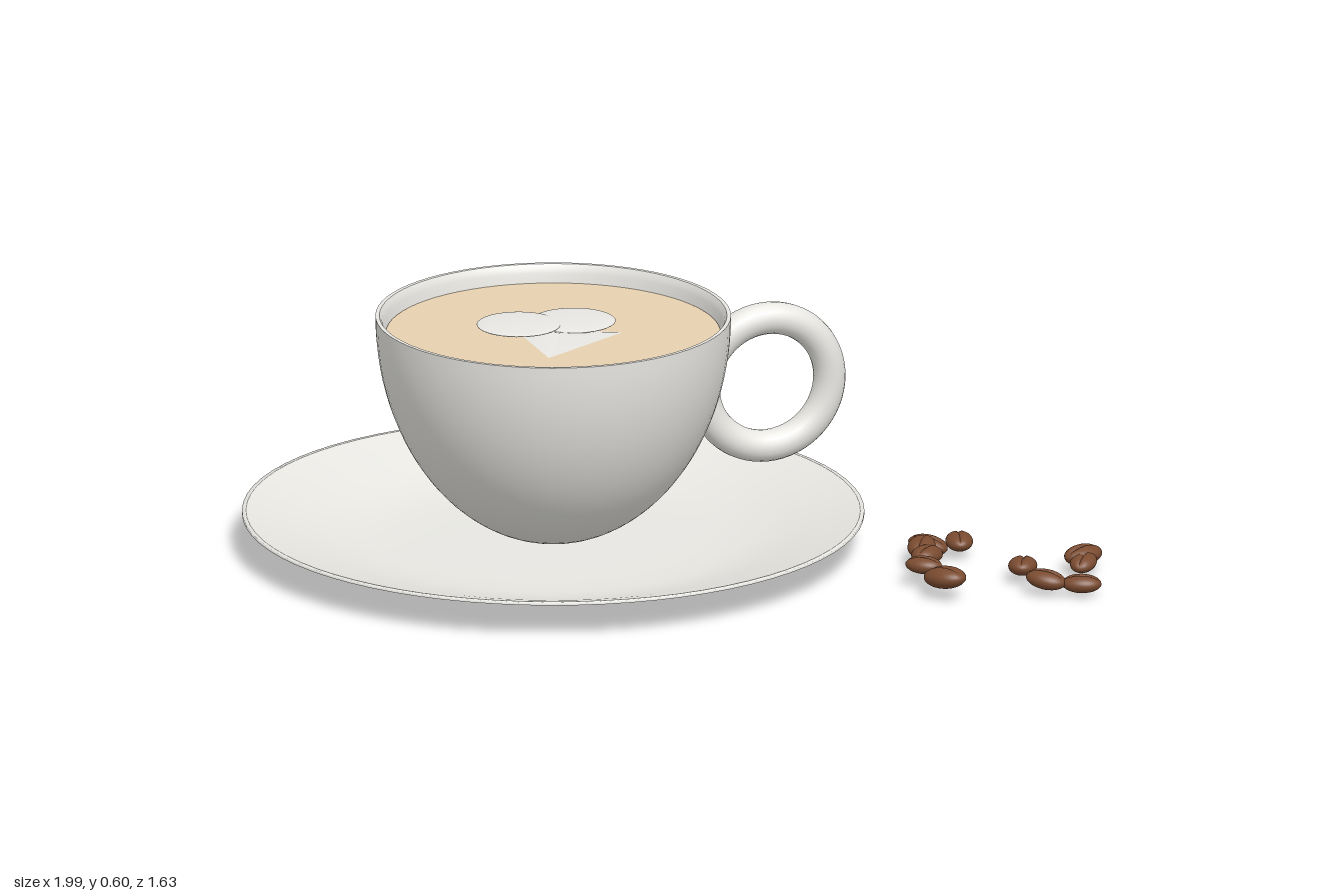
import * as THREE from 'three';

const CX = -0.23, CZ = -0.045; // shared axis of cup and saucer

const mat = (name, color, side = THREE.FrontSide) => {
  const m = new THREE.MeshStandardMaterial({ color, side });
  m.name = name;
  return m;
};

export function createModel() {
  const model = new THREE.Group();
  const porcelain = mat('porcelain', 0xf2f1ec, THREE.DoubleSide);
  const coffeeMat = mat('milky coffee', 0xe6d0b0);
  const foamMat = mat('milk foam', 0xf6f5f1);
  const beanMat = mat('roasted bean', 0x7a4b30);

  const add = (parent, name, geometry, material, x = 0, y = 0, z = 0) => {
    const mesh = new THREE.Mesh(geometry, material);
    mesh.name = name;
    mesh.position.set(x, y, z);
    parent.add(mesh);
    return mesh;
  };
  const group = (name, x = 0, z = 0) => {
    const g = new THREE.Group();
    g.name = name;
    g.position.set(x, 0, z);
    model.add(g);
    return g;
  };
  const lathe = (pts) => new THREE.LatheGeometry(pts.map(([r, y]) => new THREE.Vector2(r, y)), 72);
  const smooth = (pts) => new THREE.SplineCurve(pts.map(([r, y]) => new THREE.Vector2(r, y)))
    .getPoints(28).map((p) => [Math.max(p.x, 0), Math.max(p.y, 0)]);

  // Saucer: thin shallow dish with a narrow lip
  const saucer = group('saucer', CX, CZ);
  add(saucer, 'saucerUnderside', lathe(smooth([[0, 0.001], [0.25, 0.001], [0.42, 0.004], [0.53, 0.02], [0.66, 0.055], [0.77, 0.088]])), porcelain);
  add(saucer, 'saucerLip', lathe([[0.77, 0.088], [0.77, 0.095], [0.76, 0.095]]), porcelain);
  add(saucer, 'saucerTop', lathe(smooth([[0.76, 0.095], [0.66, 0.067], [0.53, 0.032], [0.42, 0.016], [0.25, 0.012], [0, 0.012]])), porcelain);

  // Cup: half-ellipse outer wall, flat rim and inner wall
  const cup = group('cup', CX, CZ);
  const outer = [], inner = [];
  for (let i = 0; i <= 28; i++) {
    const a = (i / 28) * Math.PI / 2;
    outer.push([0.44 * Math.sin(a), 0.6 - 0.577 * Math.cos(a)]);
    const t = (i / 28) * 0.3;
    inner.push([0.43 - 0.08 * Math.sqrt(t / 0.3) * (0.4 + t), 0.6 - t]);
  }
  add(cup, 'cupOuterWall', lathe(outer), porcelain);
  add(cup, 'cupRim', lathe([[0.44, 0.6], [0.43, 0.6]]), porcelain);
  add(cup, 'cupInnerWall', lathe(inner), porcelain);

  // Ring handle, partly sunk into the cup wall
  add(cup, 'handle', new THREE.TorusGeometry(0.165, 0.04, 20, 64), porcelain, 0.56, 0.37, 0);

  // Coffee surface
  add(cup, 'coffee', new THREE.CylinderGeometry(0.414, 0.404, 0.02, 72), coffeeMat, 0, 0.545, 0);

  // Foam heart: two flattened balls and a three-sided point
  const foam = group('foamHeart', CX, CZ);
  [[-0.075, 0.571], [0.07, 0.566]].forEach(([x, y]) => {
    add(foam, 'foamLobe', new THREE.SphereGeometry(0.104, 32, 16), foamMat, x, y, -0.045).scale.y = 0.07;
  });
  const tip = add(foam, 'foamPoint', new THREE.ConeGeometry(0.167, 0.015, 3), foamMat, 0, 0.562, 0.055);
  tip.rotation.y = Math.PI / 2;

  // Bean: ellipsoid with a groove pressed along its top
  const beanGeo = new THREE.SphereGeometry(1, 28, 20);
  const p = beanGeo.attributes.position;
  for (let i = 0; i < p.count; i++) {
    const groove = p.getY(i) > 0 ? Math.exp(-((p.getZ(i) / 0.12) ** 2)) : 0;
    p.setXYZ(i, p.getX(i) * 0.052, p.getY(i) * 0.024 * (1 - 0.25 * groove), p.getZ(i) * 0.036);
  }
  beanGeo.computeVertexNormals();

  // Scattered beans: x, y, z, heading in degrees, size
  const beans = group('coffeeBeans');
  [
    [0.61, 0.037, 0.36, 45, 1], [0.69, 0.04, 0.365, -75, 0.95], [0.577, 0.05, 0.405, -60, 0.95],
    [0.572, 0.045, 0.46, -45, 1], [0.525, 0.055, 0.568, 40, 0.9], [0.54, 0.055, 0.683, 60, 1.15],
    [0.77, 0.04, 0.61, -65, 1], [0.938, 0.043, 0.583, -25, 1.05], [0.925, 0.036, 0.622, -55, 0.9],
    [0.786, 0.04, 0.738, 40, 1], [0.866, 0.032, 0.775, 25, 0.95],
  ].forEach(([x, y, z, deg, s], i) => {
    const bean = add(beans, 'coffeeBean', beanGeo, beanMat, x, y, z);
    bean.rotation.set(0, -deg * Math.PI / 180, (i % 3 - 1) * 0.12);
    bean.scale.setScalar(s);
  });

  return model;
}
